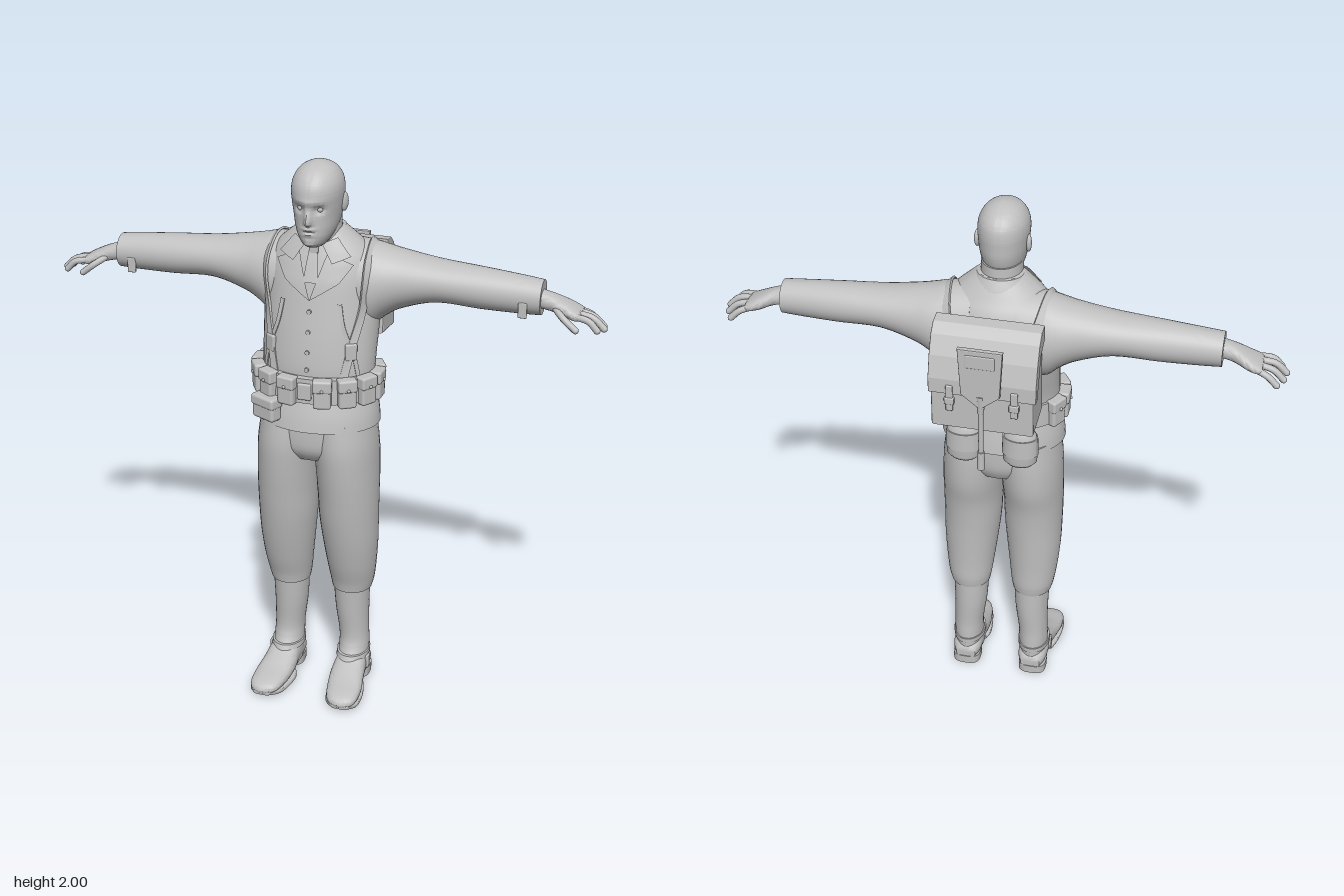
import * as THREE from 'three';
import { toCreasedNormals } from 'three/addons/utils/BufferGeometryUtils.js';
import { RoundedBoxGeometry } from 'three/addons/geometries/RoundedBoxGeometry.js';

const V = (x, y, z) => new THREE.Vector3(x, y, z);
const grey = new THREE.MeshStandardMaterial({ color: 0xc0c0c0, side: THREE.DoubleSide });
grey.name = 'plain grey';

// Catmull-Rom refinement of a table of cross-sections
function refine(rows, sub) {
  const out = [];
  const at = (i) => rows[Math.max(0, Math.min(rows.length - 1, i))];
  for (let i = 0; i < rows.length - 1; i++) for (let k = 0; k < sub; k++) {
    const t = k / sub;
    out.push(rows[i].map((b, c) => {
      const a = at(i - 1)[c], d = at(i + 1)[c], e = at(i + 2)[c];
      return b + 0.5 * t * (d - a + t * (2 * a - 5 * b + 4 * d - e + t * (3 * (b - d) + e - a)));
    }));
  }
  out.push(rows[rows.length - 1]);
  return out;
}

// Closed rings through sections [t, u0, u1, v0, v1] along an axis; s mirrors x
function loft(rows, { axis = 'y', s = 1, n = 32, sub = 5, p = 2, deform } = {}) {
  const rings = refine(rows, sub), pos = [], idx = [];
  const put = (u, t, v) => {
    const q = axis === 'y' ? V(u, t, v) : axis === 'x' ? V(t, u, v) : V(u, v, t);
    if (deform) deform(q);
    pos.push(q.x * s, q.y, q.z);
  };
  const pw = (c) => Math.sign(c) * Math.abs(c) ** (2 / p);
  for (const [t, u0, u1, v0, v1] of rings) for (let j = 0; j < n; j++) {
    const a = (j / n) * Math.PI * 2;
    put((u0 + u1) / 2 + (u1 - u0) / 2 * pw(Math.cos(a)), t, (v0 + v1) / 2 + (v1 - v0) / 2 * pw(Math.sin(a)));
  }
  const m = rings.length, flip = (axis === 'y') === (s > 0);
  const tri = (a, b, c) => (flip ? idx.push(a, b, c) : idx.push(a, c, b));
  for (const r of [rings[0], rings[m - 1]]) put((r[1] + r[2]) / 2, r[0], (r[3] + r[4]) / 2);
  for (let j = 0; j < n; j++) {
    const k = (j + 1) % n, e = (m - 1) * n;
    for (let i = 0; i < m - 1; i++) {
      tri(i * n + j, i * n + n + j, i * n + k);
      tri(i * n + k, i * n + n + j, i * n + n + k);
    }
    tri(m * n, j, k);
    tri(m * n + 1, e + k, e + j);
  }
  return finish(pos, idx);
}

function finish(pos, idx) {
  const g = new THREE.BufferGeometry();
  g.setAttribute('position', new THREE.Float32BufferAttribute(pos, 3));
  g.setIndex(idx);
  return toCreasedNormals(g, 0.9);
}

const torso = [
  [1.16, -.205, .205, -.075, .21], [1.23, -.2, .2, -.072, .2], [1.3, -.2, .2, -.08, .2], [1.4, -.203, .203, -.11, .188],
  [1.5, -.205, .205, -.135, .17], [1.6, -.2, .2, -.135, .15], [1.66, -.185, .185, -.115, .13],
  [1.7, -.155, .155, -.09, .115], [1.74, -.11, .11, -.065, .1], [1.765, -.08, .08, -.045, .085]];
const sleeve = [
  [.08, 1.42, 1.72, -.13, .11], [.17, 1.41, 1.71, -.135, .11], [.22, 1.45, 1.698, -.13, .1], [.28, 1.485, 1.686, -.117, .085],
  [.4, 1.52, 1.668, -.1, .07], [.55, 1.515, 1.657, -.085, .06], [.68, 1.515, 1.646, -.072, .052], [.757, 1.518, 1.638, -.066, .05]];

// Depth of the jacket surface at (x, y), on the front (d = 1) or the back (d = -1)
function jacketZ(x, y, d) {
  const edge = (rows, t, u) => {
    const i = rows.findIndex((r) => r[0] >= t);
    if (i < 1) return -9;
    const f = (t - rows[i - 1][0]) / (rows[i][0] - rows[i - 1][0]);
    const [, u0, u1, v0, v1] = rows[i].map((b, c) => rows[i - 1][c] + (b - rows[i - 1][c]) * f);
    const q = 1 - ((u - (u0 + u1) / 2) / ((u1 - u0) / 2)) ** 2;
    return q < 0 ? -9 : d * (v0 + v1) / 2 + (v1 - v0) / 2 * Math.sqrt(q);
  };
  return d * Math.max(edge(torso, y, x), edge(sleeve, Math.abs(x), y), 0);
}

// Four-cornered cloth panel laid on the jacket front
function panel(corners, lift, s = 1) {
  const [a, b, c, d] = corners.map(([x, y]) => V(x, y, 0)), pos = [], idx = [], n = 8;
  for (let i = 0; i <= n; i++) for (let j = 0; j <= n; j++) {
    const q = a.clone().lerp(b, j / n).lerp(d.clone().lerp(c, j / n), i / n);
    pos.push(q.x * s, q.y, jacketZ(q.x, q.y, 1) + lift);
    if (i && j) {
      const k = i * (n + 1) + j, l = k - n - 1;
      if (s > 0) idx.push(l - 1, k - 1, l, l, k - 1, k); else idx.push(l - 1, l, k - 1, l, k, k - 1);
    }
  }
  return finish(pos, idx);
}

// Flat webbing strap along a path, facing away from the body core
function strap(points, s, width = .028, thick = .008) {
  const curve = new THREE.CatmullRomCurve3(points), pos = [], idx = [], n = 40;
  for (let i = 0; i <= n; i++) {
    const P = curve.getPoint(i / n), T = curve.getTangent(i / n);
    const N = P.clone().sub(V(.08, Math.min(P.y, 1.58), .03)).normalize();
    const S = T.cross(N).normalize();
    for (const [a, b] of [[-1, 0], [1, 0], [1, 1], [-1, 1]]) {
      const q = P.clone().addScaledVector(S, a * width / 2).addScaledVector(N, b * thick);
      pos.push(q.x * s, q.y, q.z);
    }
    if (i) for (let j = 0; j < 4; j++) {
      const k = (j + 1) % 4, o = i * 4, l = o - 4;
      if (s > 0) idx.push(l + j, l + k, o + j, l + k, o + k, o + j); else idx.push(l + j, o + j, l + k, l + k, o + j, o + k);
    }
  }
  return finish(pos, idx);
}

// Side profile of (distance behind, height) points, extruded across x
function sideExtrude(pts, width, bevel) {
  const g = new THREE.ExtrudeGeometry(new THREE.Shape(pts.map(([a, b]) => new THREE.Vector2(a, b))),
    { depth: width - 2 * bevel, bevelSize: bevel, bevelThickness: bevel, bevelSegments: 2 });
  return g.translate(0, 0, bevel - width / 2).rotateY(Math.PI / 2);
}

export function createModel() {
  const model = new THREE.Group();
  const add = (name, geo, at = [0, 0, 0], ry = 0) => {
    const m = new THREE.Mesh(geo, grey);
    m.name = name; m.position.set(...at); m.rotation.y = ry;
    model.add(m);
    return m;
  };
  const box = (w, h, d, r = .006) => new RoundedBoxGeometry(w, h, d, 2, r);

  // Head with brow, eye sockets, nose, lips and chin
  const g = (a, c, w) => Math.exp(-(((a - c) / w) ** 2));
  add('head', loft([
    [1.722, -.03, .03, .07, .15], [1.735, -.045, .045, .03, .168], [1.76, -.06, .06, 0, .177], [1.79, -.072, .072, -.03, .178],
    [1.83, -.08, .08, -.043, .177], [1.87, -.085, .085, -.046, .182], [1.91, -.087, .087, -.046, .185], [1.945, -.08, .08, -.037, .173],
    [1.975, -.06, .06, -.01, .145], [1.993, -.03, .03, .03, .105], [2, 0, 0, .065, .065]], {
    n: 96, sub: 8, deform: (q) => {
      if (q.z < .1) return;
      const { x, y } = q;
      q.z += .03 * g(x, 0, .012) * g(y, 1.815, y < 1.815 ? .008 : .035)
        - .016 * g(Math.abs(x), .034, .016) * g(y, 1.858, .013) + .006 * g(y, 1.885, .012) * g(x, 0, .05)
        + .006 * g(x, 0, .022) * (g(y, 1.791, .006) + g(y, 1.774, .006) - g(y, 1.7825, .004)) + .008 * g(x, 0, .02) * g(y, 1.74, .014);
    } }));
  add('neck', loft([[1.66, -.085, .085, -.05, .1], [1.74, -.073, .073, -.043, .115], [1.8, -.07, .07, -.04, .12]]));

  // Jacket
  add('jacketBody', loft(torso, { n: 48 }));
  add('jacketSkirt', loft([[1.08, -.222, .222, -.095, .238], [1.13, -.218, .218, -.088, .228], [1.2, -.205, .205, -.075, .208]], { n: 48 }));
  add('collar', loft([[1.7, -.12, .12, -.085, .112], [1.735, -.098, .098, -.07, .1], [1.765, -.08, .08, -.054, .085]]));
  add('tie', panel([[-.014, 1.715], [.014, 1.715], [.026, 1.6], [-.026, 1.6]], .012));
  add('tieKnot', box(.032, .03, .014), [0, 1.705, .122]);
  for (const y of [1.5, 1.43, 1.36, 1.3])
    add('jacketButton', new THREE.CylinderGeometry(.008, .008, .008, 12).rotateX(Math.PI / 2), [0, y, jacketZ(0, y, 1) + .002]);

  // Trouser seat
  add('trouserSeat', loft([[.95, -.14, .14, -.06, .185], [1.0, -.2, .2, -.08, .212], [1.1, -.205, .205, -.085, .215]]));

  for (const s of [1, -1]) {
    // Face and collar sides
    const ear = add('ear', new THREE.SphereGeometry(1, 16, 12), [.085 * s, 1.86, .052], -.3 * s);
    ear.scale.set(.011, .033, .02);
    add('eye', new THREE.SphereGeometry(.011, 16, 12), [.033 * s, 1.858, .152]);
    add('collarWing', panel([[.028, 1.728], [.075, 1.745], [.125, 1.685], [.068, 1.665]], .016, s));
    add('lapel', panel([[.05, 1.7], [.135, 1.658], [.095, 1.6], [0, 1.54]], .01, s));

    // Arms and hands
    add('sleeve', loft(sleeve, { axis: 'x', s, n: 36 }));
    add('cuffTab', box(.03, .055, .012, .004), [.7 * s, 1.545, .047]);
    add('palm', loft([[.73, 1.55, 1.612, -.035, .035], [.79, 1.54, 1.598, -.038, .036], [.84, 1.525, 1.576, -.058, .045],
      [.875, 1.518, 1.558, -.062, .05], [.89, 1.525, 1.548, -.056, .044]], { axis: 'x', s, p: 2.4, n: 24 }));
    const digits = [[[.87, 1.54, .036], [.92, 1.532, .045], [.95, 1.503, .047]], [[.87, 1.543, .01], [.93, 1.533, .014], [.968, 1.5, .015]],
      [[.87, 1.541, -.017], [.925, 1.528, -.02], [.962, 1.495, -.022]], [[.87, 1.536, -.044], [.91, 1.522, -.054], [.942, 1.493, -.058]],
      [[.8, 1.56, .022], [.84, 1.535, .058], [.882, 1.503, .066]]];
    digits.forEach((pts, i) => {
      const path = new THREE.CatmullRomCurve3(pts.map(([x, y, z]) => V(x * s, y, z)));
      add(i < 4 ? 'finger' : 'thumb', new THREE.TubeGeometry(path, 10, .0115, 10));
      add('fingertip', new THREE.SphereGeometry(.0115, 10, 8), path.getPoint(1).toArray());
    });

    // Trouser legs
    add('trouserLeg', loft([[1.1, -.01, .2, -.08, .212], [1.0, -.01, .215, -.085, .22], [.9, -.003, .22, -.08, .213], [.8, .004, .221, -.06, .2],
      [.7, .008, .22, -.05, .185], [.6, .018, .218, -.045, .165], [.5, .03, .21, -.042, .14], [.43, .039, .2, -.042, .118],
      [.392, .046, .19, -.037, .11]].reverse(), { s }));

    // Boots
    add('bootShaft', loft([[.04, .075, .18, -.035, .15], [.1, .072, .182, -.036, .125], [.15, .072, .182, -.034, .098], [.2, .07, .18, -.032, .09],
      [.3, .057, .18, -.035, .098], [.41, .05, .184, -.034, .106]], { s }));
    add('bootFoot', loft([[-.038, .09, .165, .025, .08], [0, .075, .182, .02, .11], [.08, .073, .187, .018, .128], [.14, .07, .195, .014, .102],
      [.2, .076, .205, .012, .076], [.26, .09, .203, .012, .06], [.29, .11, .187, .014, .048], [.302, .14, .16, .022, .032]], { axis: 'z', s, p: 2.4 }));
    add('bootSole', loft([[.105, .08, .185, 0, .022], [.14, .068, .197, 0, .022], [.2, .073, .207, .001, .022], [.26, .088, .205, .004, .026],
      [.298, .122, .177, .012, .03]], { axis: 'z', s, p: 5 }));
    add('bootArch', box(.085, .02, .1), [.13 * s, .024, .085]);
    add('bootHeel', loft([[0, .078, .182, -.04, .06], [.035, .077, .183, -.041, .062]], { s, p: 3, sub: 1 }));
    add('ankleStrap', loft([[.105, .067, .187, -.04, .132], [.125, .067, .187, -.04, .122]], { s, sub: 1 }));
    add('bootBuckle', box(.012, .05, .03, .004), [.187 * s, .085, .062]);

    // Shoulder straps
    const on = (x, y, d) => V(x, y, jacketZ(x, y, d));
    add('shoulderStrap', strap([on(.12, 1.26, 1), on(.142, 1.38, 1), on(.165, 1.5, 1), on(.175, 1.6, 1), on(.175, 1.66, 1),
      V(.17, 1.707, -.012), on(.155, 1.66, -1), on(.125, 1.55, -1), on(.1, 1.42, -1), on(.09, 1.27, -1)], s));
    add('lowerStrap', strap([on(.165, 1.27, 1), on(.15, 1.35, 1), on(.115, 1.45, 1), on(.1, 1.53, 1)], s, .014, .006));
    add('strapBuckle', box(.042, .06, .016), [.143 * s, 1.365, jacketZ(.143, 1.365, 1) + .004], .6 * s);

    // Belt pouches
    for (const deg of [17, 41, 65, 89, 113]) {
      const a = deg * Math.PI / 180, x = .215 * Math.sin(a) * s, z = .072 + .158 * Math.cos(a);
      const turn = Math.atan2(x / .215 ** 2, (z - .072) / .158 ** 2);
      add('beltPouch', box(.062, .1, .038, .01), [x, 1.226, z], turn);
      add('pouchFlap', box(.067, .045, .044, .008), [x, 1.258, z], turn);
      add('pouchStud', new THREE.SphereGeometry(.006, 8, 6), [x + .023 * Math.sin(turn), 1.245, z + .023 * Math.cos(turn)]);
    }

    // Flasks hung behind the belt
    const profile = [[0, 1.08], [.045, 1.084], [.06, 1.1], [.062, 1.17], [.056, 1.21], [.035, 1.24], [.02, 1.25], [.02, 1.275], [0, 1.28]];
    const flask = add('flask', new THREE.LatheGeometry(profile.map(([r, y]) => new THREE.Vector2(r, y)), 24), [.1 * s, 0, -.122]);
    flask.scale.z = .72;
    add('flaskCover', loft([[1.13, -.064, .064, -.046, .046], [1.2, -.062, .062, -.045, .045]], { sub: 1 }), [.1 * s, 0, -.122]);
    add('flaskHanger', box(.03, .08, .03), [.1 * s, 1.24, -.085]);
    add('packStrap', box(.024, .1, .014, .004), [.11 * s, 1.43, -.272]);
    add('packBuckle', box(.034, .026, .018, .004), [.11 * s, 1.42, -.274]);
  }

  // Belt, buckle and low front pouch
  add('belt', loft([[1.185, -.215, .215, -.085, .226], [1.275, -.212, .212, -.085, .224]], { n: 48, sub: 1 }));
  add('beltBuckle', box(.05, .06, .014), [0, 1.23, .228]);
  add('lowPouch', box(.1, .085, .05, .012), [-.142, 1.147, .212], -.45);
  add('lowPouchFlap', box(.105, .04, .056, .01), [-.142, 1.172, .212], -.45);

  // Backpack with rounded top flap
  add('backpack', sideExtrude([[.13, 1.335], [.262, 1.32], [.262, 1.48], [.24, 1.57], [.21, 1.63], [.18, 1.655], [.15, 1.66]], .35, .008));
  add('packFlap', sideExtrude([[.14, 1.62], [.2, 1.59], [.25, 1.45], [.27, 1.45], [.269, 1.5], [.247, 1.575], [.216, 1.637], [.183, 1.664], [.145, 1.668]], .366, .004));

  // Shovel in its carrier
  const blade = new THREE.Shape([[-.072, 1.64], [.072, 1.64], [.062, 1.47], [0, 1.42], [-.062, 1.47]].map(([x, y]) => new THREE.Vector2(x, y)));
  add('shovelCover', new THREE.ExtrudeGeometry(blade, { depth: .01, bevelSize: .004, bevelThickness: .004, bevelSegments: 2 }), [0, 0, -.295]);
  add('shovelCoverFlap', box(.1, .05, .012, .004), [0, 1.6, -.296]);
  add('shovelHandle', new THREE.CylinderGeometry(.009, .009, .25, 12), [0, 1.32, -.287]);
  add('shovelGrip', new THREE.CylinderGeometry(.012, .014, .07, 14), [0, 1.2, -.287]);
  add('shovelSocket', new THREE.CylinderGeometry(.016, .011, .07, 14), [0, 1.43, -.287]);
  return model;
}
